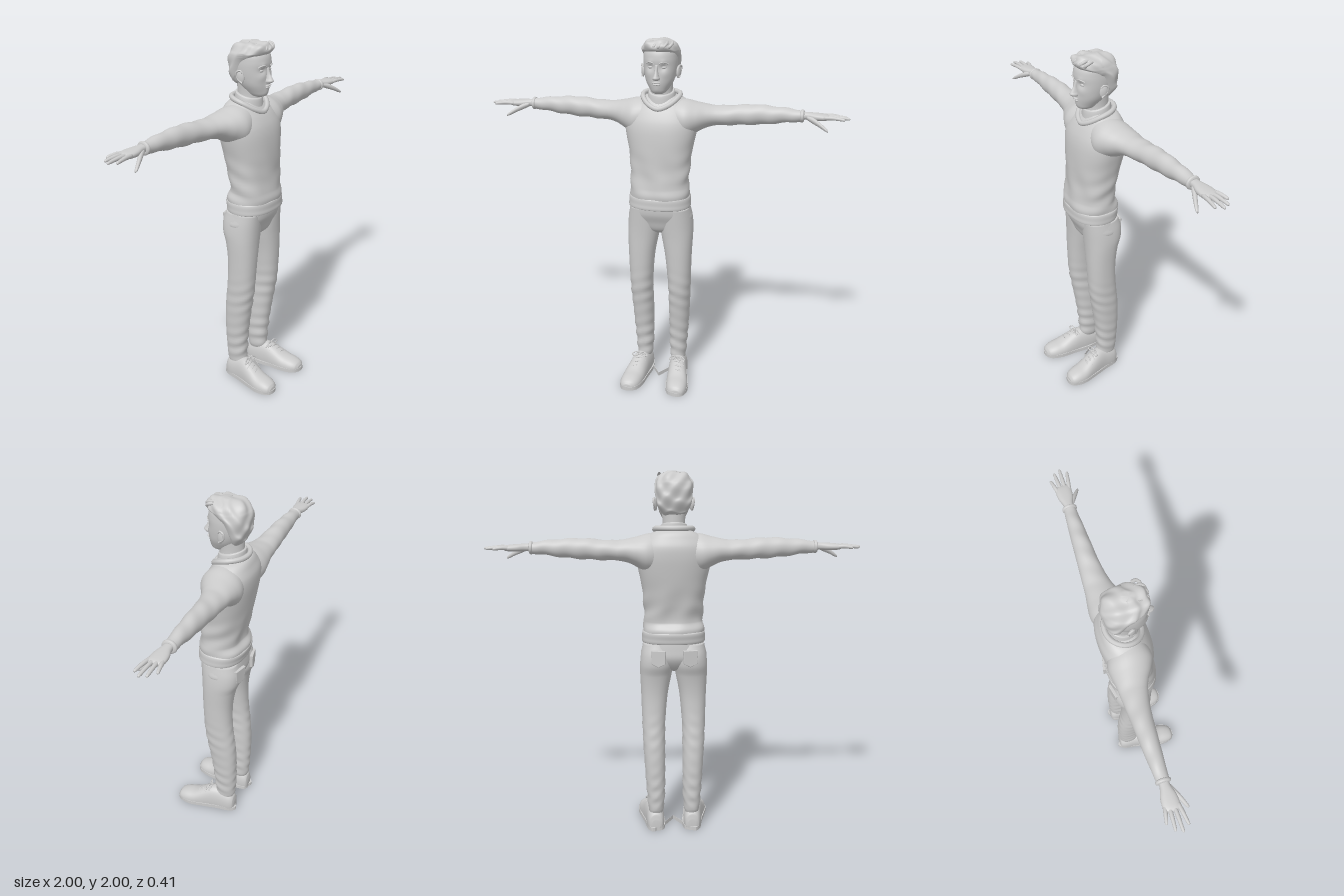
import * as THREE from 'three';

const material = new THREE.MeshStandardMaterial({ color: 0xcccccc, side: THREE.DoubleSide });

// Skin over cross-sections along an axis (0 x, 1 y, 2 z).
// Ring: [t, uMin, uMax, vMin, vMax]; (u, v) is (z, y) for x, (x, z) for y, (y, x) for z.
function loft(axis, rings, { n = 2, seg = 32, steps = 5, deform } = {}) {
  const u = (axis + 2) % 3, v = (axis + 1) % 3;
  const pos = [], index = [], last = rings.length - 1;
  const slope = (i, k) => {
    const a = rings[Math.max(i - 1, 0)], b = rings[Math.min(i + 1, last)];
    return (b[k] - a[k]) / (b[0] - a[0]);
  };
  const at = (i, f, k) => {
    const a = rings[i], b = rings[i + 1], h = b[0] - a[0], g = 1 - f;
    return a[k] * (1 + 2 * f) * g * g + b[k] * f * f * (3 - 2 * f)
      + h * f * g * (slope(i, k) * g - slope(i + 1, k) * f);
  };
  const point = new THREE.Vector3();
  const push = (t, a, b) => {
    point.setComponent(axis, t).setComponent(u, a).setComponent(v, b);
    if (deform) deform(point);
    pos.push(point.x, point.y, point.z);
  };
  const power = (c) => Math.sign(c) * Math.abs(c) ** (2 / n);
  const rows = last * steps + 1;
  for (let r = 0; r < rows; r++) {
    const i = Math.min(Math.floor(r / steps), last - 1), f = r / steps - i;
    const [a, b, c, d] = [1, 2, 3, 4].map((k) => at(i, f, k));
    const t = rings[i][0] + (rings[i + 1][0] - rings[i][0]) * f;
    for (let j = 0; j < seg; j++) {
      const q = (j / seg) * Math.PI * 2;
      push(t, (a + b) / 2 + (b - a) / 2 * power(Math.cos(q)), (c + d) / 2 + (d - c) / 2 * power(Math.sin(q)));
      const p = r * seg + j, s = r * seg + (j + 1) % seg;
      if (r < rows - 1) index.push(p, p + seg, s, s, p + seg, s + seg);
      if (r === 0) index.push(rows * seg, p, s);
      if (r === rows - 1) index.push(rows * seg + 1, s, p);
    }
  }
  for (const e of [rings[0], rings[last]]) push(e[0], (e[1] + e[2]) / 2, (e[3] + e[4]) / 2);
  const geo = new THREE.BufferGeometry();
  geo.setAttribute('position', new THREE.Float32BufferAttribute(pos, 3));
  geo.setIndex(index);
  geo.computeVertexNormals();
  return geo;
}

// Reflected copy across x = 0, with corner order turned back outward
function mirror(geo) {
  const m = geo.clone().scale(-1, 1, 1), ix = m.index.array;
  for (let i = 0; i < ix.length; i += 3) [ix[i], ix[i + 1]] = [ix[i + 1], ix[i]];
  m.computeVertexNormals();
  return m;
}

const tube = (pts, r, closed = false) => new THREE.TubeGeometry(
  new THREE.CatmullRomCurve3(pts.map((p) => new THREE.Vector3(...p)), closed), 40, r, 8, closed);
const ball = (x, y, z, rx, ry, rz) => new THREE.SphereGeometry(1, 20, 14).scale(rx, ry, rz).translate(x, y, z);

export function createModel() {
  const model = new THREE.Group();
  const add = (name, geo) => {
    const mesh = new THREE.Mesh(geo, material);
    mesh.name = name;
    model.add(mesh);
  };
  const pair = (name, geo) => {
    add(name + 'Left', geo);
    add(name + 'Right', mirror(geo));
  };

  // Sweater body with soft folds at the waist
  add('sweaterBody', loft(1, [
    [1.12, -.166, .166, -.165, .088], [1.16, -.168, .168, -.168, .094], [1.2, -.162, .162, -.145, .086],
    [1.3, -.165, .165, -.16, .077], [1.4, -.175, .175, -.18, .076], [1.5, -.195, .195, -.196, .07],
    [1.56, -.2, .2, -.202, .058], [1.61, -.185, .185, -.2, .036], [1.65, -.155, .155, -.185, .01],
    [1.68, -.115, .115, -.17, -.012], [1.695, -.07, .07, -.15, -.03],
  ], { n: 2.3, seg: 56, steps: 6, deform: (p) => {
    const fold = Math.exp(-(((p.y - 1.25) / .12) ** 2)) * .004;
    p.z += fold * Math.sin(p.x * 42 + p.y * 16);
    p.x += fold * Math.sin(p.y * 60 + p.z * 25);
  } }));
  add('sweaterHem', loft(1, [
    [1.08, -.165, .165, -.15, .085], [1.085, -.173, .173, -.163, .095], [1.11, -.173, .173, -.168, .095],
    [1.14, -.171, .171, -.172, .094], [1.15, -.162, .162, -.16, .085],
  ], { n: 2.3, seg: 56 }));
  add('neckband', tube([[0, 1.632, .022], [.055, 1.652, .006], [.097, 1.688, -.045], [.098, 1.702, -.095],
    [.06, 1.706, -.143], [0, 1.706, -.16], [-.06, 1.706, -.143], [-.098, 1.702, -.095],
    [-.097, 1.688, -.045], [-.055, 1.652, .006]], .014, true));

  // Sleeves and cuffs
  pair('sleeve', loft(0, [
    [.06, -.17, .02, 1.47, 1.68], [.14, -.195, .035, 1.465, 1.675], [.2, -.192, .01, 1.5, 1.66],
    [.25, -.185, -.02, 1.525, 1.65], [.3, -.181, -.04, 1.535, 1.643], [.4, -.175, -.06, 1.54, 1.648],
    [.5, -.169, -.069, 1.546, 1.655], [.6, -.163, -.076, 1.556, 1.65], [.7, -.155, -.084, 1.57, 1.641],
    [.76, -.15, -.088, 1.576, 1.633],
  ], { steps: 8, deform: (p) => {
    p.y += .0025 * Math.sin(p.x * 55 + p.z * 30) * Math.min(1, Math.max(0, (p.x - .2) * 5));
  } }));
  pair('cuff', loft(0, [
    [.742, -.149, -.089, 1.577, 1.633], [.746, -.156, -.082, 1.572, 1.639],
    [.758, -.156, -.082, 1.572, 1.639], [.763, -.147, -.091, 1.58, 1.63],
  ]));

  // Hands: palm, four fingers and a thumb
  pair('palm', loft(0, [
    [.74, -.143, -.095, 1.588, 1.628], [.78, -.145, -.092, 1.588, 1.627], [.82, -.157, -.08, 1.586, 1.625],
    [.86, -.161, -.077, 1.587, 1.622], [.885, -.156, -.08, 1.591, 1.618], [.897, -.14, -.095, 1.598, 1.612],
  ], { n: 2.4 }));
  const fingers = [[-.088, -.07, .975], [-.108, -.104, 1], [-.129, -.137, .985], [-.148, -.167, .945]];
  for (const [z0, z1, tip] of fingers) {
    const ring = (f, r, y) => {
      const z = z0 + (z1 - z0) * f;
      return [.86 + (tip - .86) * f, z - r, z + r, y - r, y + r];
    };
    pair('finger', loft(0, [ring(0, .0105, 1.605), ring(.4, .0105, 1.608), ring(.7, .009, 1.606),
      ring(.93, .0075, 1.603), ring(.985, .005, 1.602), ring(1, .0015, 1.602)], { seg: 12, steps: 3 }));
  }
  pair('thumb', loft(0, [
    [.775, -.125, -.09, 1.59, 1.615], [.81, -.102, -.07, 1.574, 1.606], [.845, -.077, -.052, 1.56, 1.587],
    [.88, -.056, -.037, 1.543, 1.562], [.892, -.047, -.036, 1.54, 1.551],
  ], { seg: 14 }));

  // Trousers: hips, legs and back pockets
  add('hips', loft(1, [
    [.925, -.03, .03, -.1, 0], [.95, -.11, .11, -.13, .03], [1, -.178, .178, -.158, .05],
    [1.05, -.174, .174, -.158, .07], [1.12, -.16, .16, -.15, .075],
  ], { n: 2.3, seg: 48 }));
  pair('trouserLeg', loft(1, [
    [.09, .066, .138, -.14, -.045], [.12, .058, .146, -.149, -.033], [.2, .052, .152, -.155, -.028],
    [.3, .05, .16, -.157, -.018], [.4, .049, .166, -.156, -.003], [.5, .049, .172, -.149, .014],
    [.6, .048, .176, -.136, .03], [.7, .041, .179, -.127, .037], [.8, .03, .182, -.127, .042],
    [.9, .011, .186, -.142, .046], [.96, 0, .186, -.163, .05], [1.02, 0, .18, -.164, .055],
    [1.08, .01, .168, -.145, .06],
  ], { n: 2.25, steps: 7, deform: (p) => {
    const fold = .003 * Math.exp(-(((p.y - .22) / .13) ** 2)) + .002 * Math.exp(-(((p.y - .55) / .1) ** 2));
    const wave = fold * Math.sin(p.y * 85 + p.x * 30 - p.z * 22);
    p.x += wave * Math.sign(p.x - .1);
    p.z += wave;
  } }));
  const pocket = new THREE.Shape([[-.038, .04], [-.034, -.03], [0, -.046], [.034, -.03], [.038, .04]]
    .map((p) => new THREE.Vector2(...p)));
  for (const s of [-1, 1]) {
    add('backPocket', new THREE.ExtrudeGeometry(pocket, { depth: .012, bevelSize: .003, bevelThickness: .003 })
      .rotateY(-s * .22).translate(s * .088, 1.01, -.168));
  }

  // Shoes: flat-bottomed uppers, soles and laces
  const ground = (p) => { p.y = Math.max(p.y, 0); };
  pair('shoe', loft(2, [
    [-.155, .01, .06, .08, .125], [-.148, -.02, .095, .066, .141], [-.12, -.04, .118, .057, .153],
    [-.06, -.05, .135, .056, .16], [-.01, -.05, .135, .06, .17], [.04, -.05, .112, .064, .182],
    [.1, -.04, .08, .07, .196], [.15, -.035, .068, .079, .197], [.185, -.02, .053, .097, .186],
    [.199, -.005, .035, .12, .168],
  ], { n: 2.3, deform: ground }));
  const outline = new THREE.Shape();
  outline.splineThru([[.1, -.157], [.145, -.14], [.164, -.05], [.186, .04], [.201, .12], [.185, .185],
    [.145, .204], [.095, .185], [.069, .12], [.06, .03], [.05, -.06], [.06, -.14], [.1, -.157]]
    .map(([x, z]) => new THREE.Vector2(x, -z)));
  const sole = new THREE.ExtrudeGeometry(outline, { depth: .022, bevelEnabled: false, curveSegments: 4 })
    .rotateX(-Math.PI / 2);
  add('soleLeft', sole);
  add('soleRight', sole.clone().rotateY(Math.PI).scale(1, 1, -1).translate(0, 0, 0));
  const rightSole = model.children[model.children.length - 1].geometry;
  const sp = rightSole.attributes.position;
  for (let i = 0; i < sp.count; i += 3) {
    const a = [sp.getX(i), sp.getY(i), sp.getZ(i)];
    sp.setXYZ(i, sp.getX(i + 1), sp.getY(i + 1), sp.getZ(i + 1));
    sp.setXYZ(i + 1, ...a);
  }
  rightSole.computeVertexNormals();
  for (let i = 0; i < 4; i++) {
    const z = -.005 + i * .024, y = .137 - i * .014, x = .114 + i * .005;
    pair('lace', tube([[x - .04, y - .022, z - .006], [x, y + .002, z], [x + .04, y - .022, z + .006]], .0045));
  }
  for (const s of [-1, 1]) {
    pair('laceBow', tube([[.114, .138, 0], [.114 + s * .025, .15, .004], [.114 + s * .046, .133, .012],
      [.114 + s * .025, .132, .016]], .0035, true));
  }

  // Neck and shirt collar
  add('neck', loft(1, [
    [1.62, -.07, .07, -.14, -.01], [1.68, -.063, .063, -.135, -.005], [1.73, -.06, .06, -.135, -.005],
    [1.8, -.065, .065, -.135, 0],
  ]));
  add('shirtCollar', loft(1, [
    [1.64, -.085, .085, -.155, .008], [1.69, -.076, .076, -.148, .004], [1.715, -.071, .071, -.145, 0],
    [1.72, -.066, .066, -.14, -.005],
  ], { deform: (p) => { p.y -= (p.z + .07) * .25; } }));

  // Head with eye sockets, brows, cheeks and chin modelled into the face
  const bumps = [[.034, 1.858, .018, -.009], [.035, 1.882, .014, .004], [.048, 1.82, .022, .004],
    [0, 1.742, .02, .006], [0, 1.772, .018, .005]];
  add('head', loft(1, [
    [1.714, -.022, .022, -.03, .02], [1.722, -.038, .038, -.06, .036], [1.745, -.055, .055, -.09, .044],
    [1.78, -.074, .074, -.12, .05], [1.82, -.085, .085, -.145, .051], [1.86, -.09, .09, -.155, .052],
    [1.9, -.09, .09, -.155, .053], [1.94, -.083, .083, -.14, .042], [1.97, -.06, .06, -.11, .01],
    [1.982, -.02, .02, -.07, -.03],
  ], { n: 2.15, seg: 72, steps: 7, deform: (p) => {
    if (p.z < 0) return;
    for (const [x, y, r, d] of bumps) {
      p.z += d * Math.exp(-((Math.abs(p.x) - x) ** 2 + (p.y - y) ** 2) / (r * r));
    }
  } }));
  add('nose', loft(1, [
    [1.79, -.01, .01, .035, .06], [1.794, -.017, .017, .03, .076], [1.803, -.019, .019, .03, .086],
    [1.815, -.014, .014, .03, .081], [1.84, -.009, .009, .03, .066], [1.872, -.01, .01, .03, .055],
  ], { seg: 20 }));
  pair('eye', ball(.034, 1.857, .034, .015, .008, .009));
  pair('eyebrow', tube([[.015, 1.878, .054], [.035, 1.885, .05], [.058, 1.877, .034]], .0035));
  add('upperLip', ball(0, 1.778, .054, .024, .0045, .008));
  add('lowerLip', ball(0, 1.769, .053, .02, .005, .008));
  pair('ear', ball(0, 0, 0, .009, .034, .02).rotateX(-.15).rotateY(-.35).translate(.097, 1.825, -.052));
  pair('earRim', tube([[.1, 1.795, -.042], [.104, 1.82, -.07], [.108, 1.85, -.07], [.103, 1.858, -.05],
    [.097, 1.845, -.038]], .005));

  // Hair: cropped sides, tufted top swept over the forehead
  add('hair', loft(1, [
    [1.775, -.055, .055, -.135, -.085], [1.79, -.07, .07, -.148, -.075], [1.82, -.086, .086, -.161, -.07],
    [1.86, -.095, .095, -.17, -.05], [1.9, -.099, .099, -.172, -.015], [1.93, -.1, .1, -.167, .03],
    [1.945, -.098, .098, -.162, .053], [1.97, -.086, .086, -.145, .06], [1.988, -.06, .06, -.115, .04],
    [1.998, -.02, .02, -.07, -.005],
  ], { n: 2.2, seg: 72, steps: 7, deform: (p) => {
    const w = .003 * Math.sin(p.x * 75 + p.y * 60) + .003 * Math.sin(p.z * 85 - p.y * 70 + p.x * 30);
    p.x *= 1 + w * 8;
    p.z += w * Math.sign(p.z + .05);
    p.y = Math.min(p.y + w, 2);
  } }));
  for (let i = 0; i < 5; i++) {
    const x = -.055 + i * .027;
    add('fringeTuft', tube([[x, 1.95, .03 - x * x * 6], [x + .012, 1.963, .054 - x * x * 6],
      [x + .024, 1.978, .04 - x * x * 6], [x + .02, 1.984, 0]], .0085));
  }
  return model;
}
